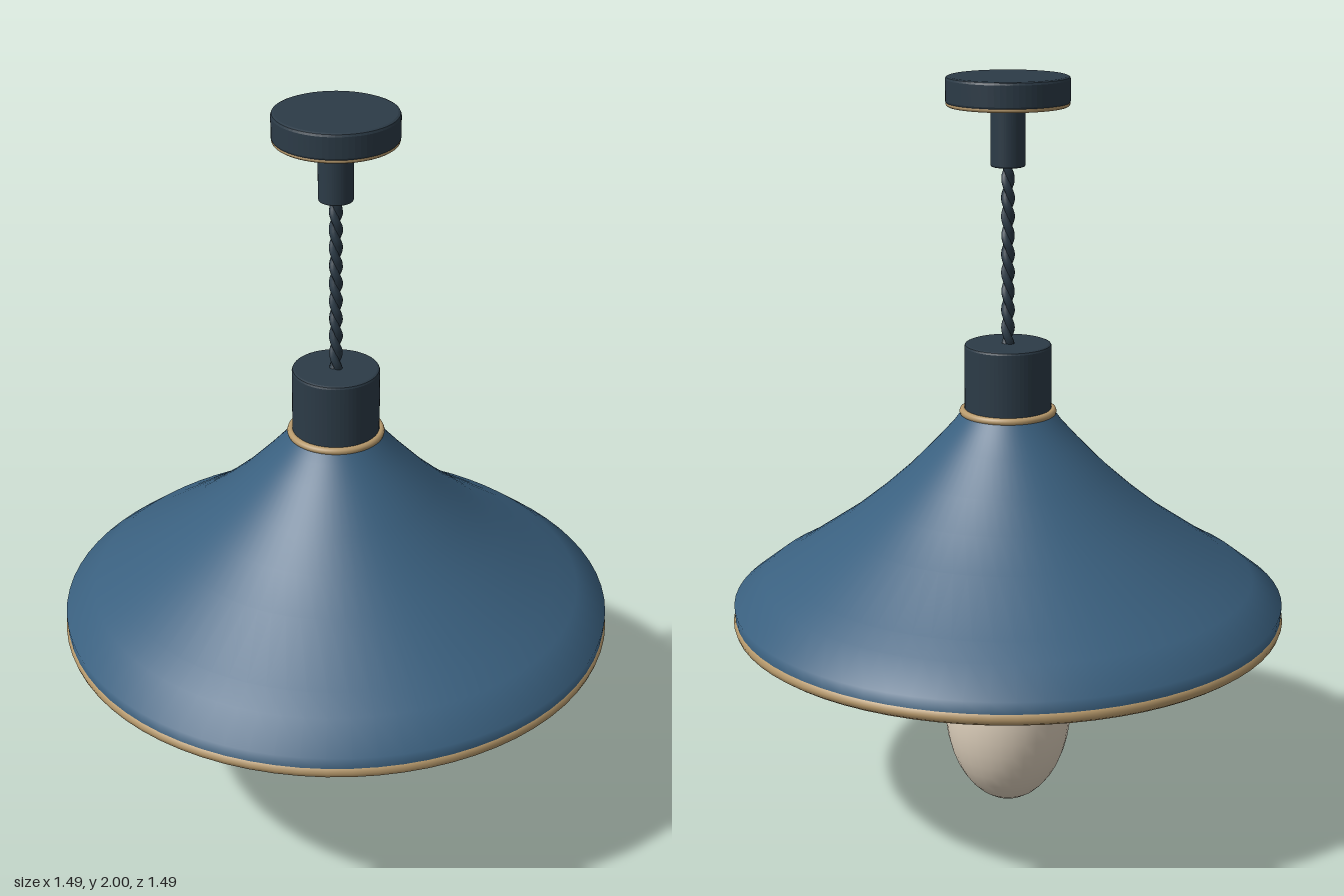
import * as THREE from 'three';

const material = (name, color) => {
  const m = new THREE.MeshStandardMaterial({ color });
  m.name = name;
  return m;
};

export function createModel() {
  const blue = material('blue enamel', 0x3a607f);
  const dark = material('dark metal', 0x2c3b47);
  const brass = material('brass', 0xb89a6c);
  const cream = material('cream', 0xe0d2be);

  const lamp = new THREE.Group();
  lamp.name = 'pendantLamp';

  const add = (name, geometry, mat, y = 0, parent = lamp) => {
    const mesh = new THREE.Mesh(geometry, mat);
    mesh.name = name;
    mesh.position.y = y;
    parent.add(mesh);
    return mesh;
  };

  // Upright cylinder between two heights
  const post = (name, r, y0, y1, mat, parent) =>
    add(name, new THREE.CylinderGeometry(r, r, y1 - y0, 48), mat, (y0 + y1) / 2, parent);

  // Cylinder with small bevelled edges, built as an extruded disc
  const bevelledPost = (name, r, y0, y1, b, mat) => {
    const disc = new THREE.Shape().absarc(0, 0, r - b, 0, Math.PI * 2);
    const g = new THREE.ExtrudeGeometry(disc, {
      depth: y1 - y0 - 2 * b, bevelThickness: b, bevelSize: b, bevelSegments: 2, curveSegments: 32,
    });
    g.rotateX(-Math.PI / 2);
    return add(name, g, mat, y0 + b);
  };

  // Horizontal ring
  const ring = (name, r, tube, y, mat, parent) =>
    add(name, new THREE.TorusGeometry(r, tube, 10, 72).rotateX(Math.PI / 2), mat, y, parent);

  const lathe = (name, points, mat) =>
    add(name, new THREE.LatheGeometry(points.map(([r, y]) => new THREE.Vector2(r, y)), 72), mat);

  // Ceiling mount
  bevelledPost('ceilingCanopy', 0.16, 1.93, 2, 0.008, dark);
  ring('canopyTrim', 0.152, 0.007, 1.931, brass);
  bevelledPost('cordGrip', 0.045, 1.77, 1.935, 0.005, dark);

  // Twisted two-strand cord
  const cord = new THREE.Group();
  cord.name = 'cord';
  lamp.add(cord);
  for (let s = 0; s < 2; s++) {
    const path = [];
    for (let i = 0; i <= 60; i++) {
      const a = s * Math.PI + (i / 60) * Math.PI * 10;
      path.push(new THREE.Vector3(Math.cos(a) * 0.007, 1.29 + (i / 60) * 0.49, Math.sin(a) * 0.007));
    }
    add('cordStrand', new THREE.TubeGeometry(new THREE.CatmullRomCurve3(path), 120, 0.011, 8), dark, 0, cord);
  }

  // Cap above the shade
  bevelledPost('shadeCap', 0.115, 1.12, 1.305, 0.007, dark);
  ring('capTrim', 0.119, 0.01, 1.122, brass);

  // Flared shade: outer skin and inner lining
  const profile = [
    [0.738, 0.56], [0.741, 0.605], [0.66, 0.668], [0.6, 0.702], [0.44, 0.812],
    [0.35, 0.885], [0.27, 0.957], [0.19, 1.04], [0.145, 1.09], [0.12, 1.125],
  ];
  lathe('shade', profile, blue);
  const inner = profile.map(([r, y], i) => [i < 2 ? r - 0.03 : r - 0.018, y - (i ? 0.018 : 0)]);
  lathe('shadeLining', inner.reverse(), cream);

  // Rolled rim
  ring('rim', 0.724, 0.02, 0.56, brass);
  ring('innerRimBead', 0.695, 0.009, 0.562, dark);

  // Lamp holder with ribbed neck
  const holder = new THREE.Group();
  holder.name = 'lampHolder';
  lamp.add(holder);
  post('socket', 0.118, 0.86, 1.1, cream, holder);
  post('neck', 0.098, 0.63, 0.87, brass, holder);
  post('collar', 0.088, 0.5, 0.64, brass, holder);
  for (let i = 0; i < 4; i++) ring('neckRib', 0.1, 0.01, 0.815 - i * 0.058, dark, holder);

  // Bulb
  add('bulb', new THREE.SphereGeometry(1, 32, 20).scale(0.174, 0.27, 0.174), cream, 0.27);

  return lamp;
}
